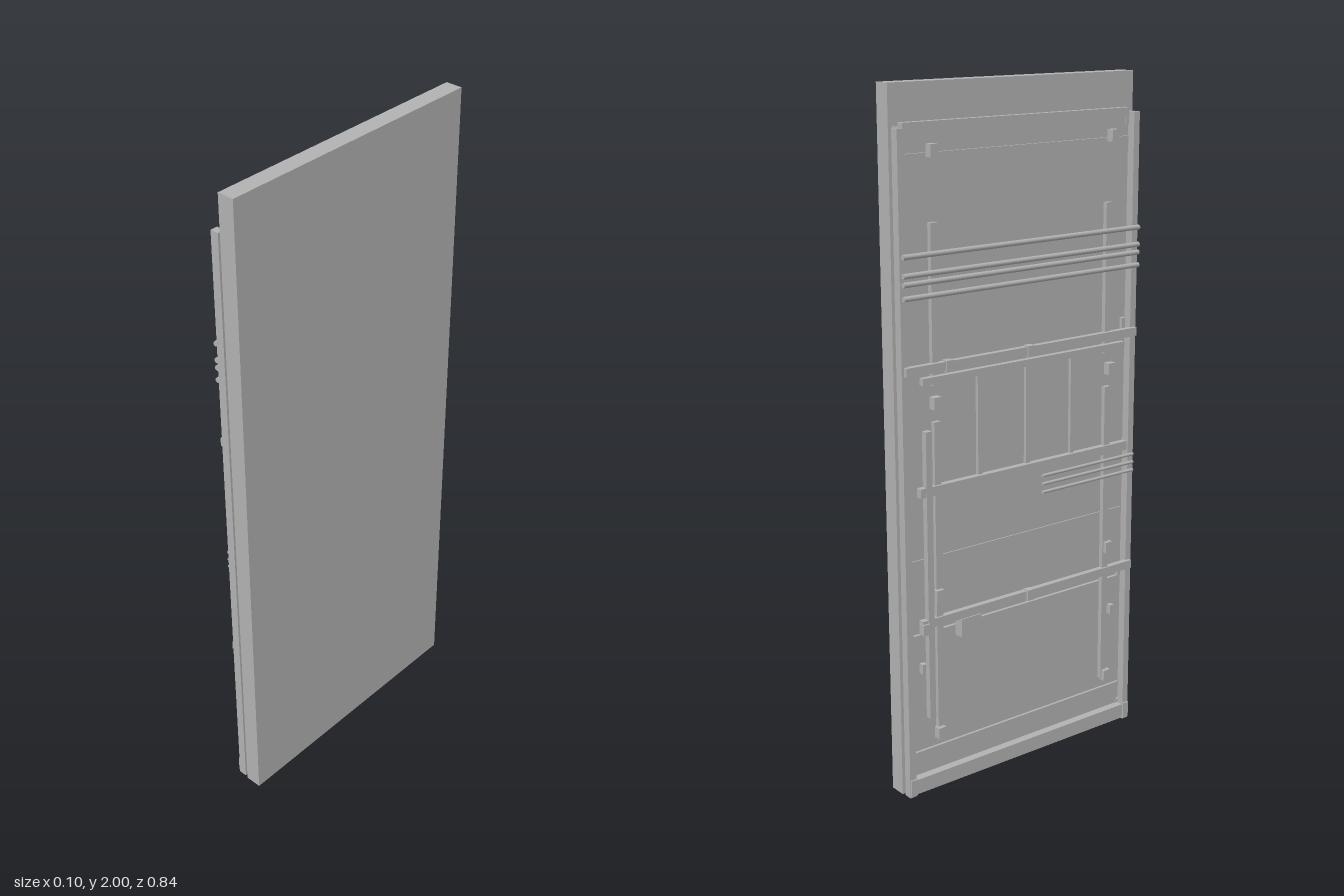
import * as THREE from 'three';

export function createModel() {
  const group = new THREE.Group();
  const grey = new THREE.MeshStandardMaterial({ color: 0xb2b2b2 });
  grey.name = 'plain grey';

  // Box from its limits on each axis
  const box = (name, x0, x1, y0, y1, z0, z1) => {
    const mesh = new THREE.Mesh(new THREE.BoxGeometry(x1 - x0, y1 - y0, z1 - z0), grey);
    mesh.position.set((x0 + x1) / 2, (y0 + y1) / 2, (z0 + z1) / 2);
    mesh.name = name;
    group.add(mesh);
  };
  // Round rod running along z
  const rod = (name, x, y, z0, z1, r) => {
    const geo = new THREE.CylinderGeometry(r, r, z1 - z0, 10).rotateX(Math.PI / 2);
    const mesh = new THREE.Mesh(geo, grey);
    mesh.position.set(x, y, (z0 + z1) / 2);
    mesh.name = name;
    group.add(mesh);
  };

  // Main slab
  box('slab', 0, 0.05, 0, 2, -0.42, 0.42);

  // Thin backing panels with gaps between them
  for (const [y0, y1] of [[1.38, 1.9], [0.55, 1.25], [0.03, 0.48]])
    box('backPanel', -0.01, 0, y0, y1, -0.39, 0.39);

  // Rails over the backing panels
  box('topRail', -0.02, -0.01, 1.875, 1.9, -0.39, 0.39);
  box('upperRail', -0.018, -0.01, 1.795, 1.82, -0.39, 0.39);
  box('panelSeam', -0.014, -0.01, 0.695, 0.705, -0.39, 0.39);
  box('lowerRail', -0.018, -0.01, 0.105, 0.125, -0.39, 0.39);
  box('bottomRail', -0.035, -0.01, 0.005, 0.05, -0.4, 0.4);

  for (const s of [-1, 1]) {
    // Side posts with feet and wall brackets
    const side = (name, x0, x1, y0, y1, za, zb) =>
      box(name, x0, x1, y0, y1, Math.min(s * za, s * zb), Math.max(s * za, s * zb));
    side('sidePost', -0.035, -0.01, 0, 1.888, 0.396, 0.417);
    side('postFoot', -0.04, -0.015, 0.005, 0.055, 0.394, 0.415);
    for (const y of [0.02, 0.48, 1.25, 1.85])
      side('postBracket', -0.012, 0, y, y + 0.04, 0.385, 0.408);

    // Inner uprights, upper and lower
    side('upperUpright', -0.036, -0.022, 1.2, 1.64, 0.296, 0.318);
    side('lowerUpright', -0.04, -0.026, 0.17, 1.1, 0.296, 0.318);
    for (const y of [1.828, 1.155, 0.6, 0.18])
      side('clamp', -0.052, -0.03, y - 0.017, y + 0.017, 0.3, 0.325);
    side('latch', -0.026, -0.008, 0.365, 0.395, 0.345, 0.36);
  }
  // Heavier upright on one side
  box('heavyUpright', -0.048, -0.03, 0.235, 1.08, -0.352, -0.332);

  // Four cross tubes
  for (const y of [1.56, 1.51, 1.487, 1.45]) rod('crossTube', -0.044, y, -0.413, 0.413, 0.0075);

  // Cross bars
  box('upperCrossBar', -0.048, -0.03, 1.24, 1.265, -0.41, 0.41);
  box('grilleTopBar', -0.051, -0.034, 1.21, 1.23, -0.36, 0.36);
  box('grilleBottomBar', -0.047, -0.028, 0.895, 0.922, -0.37, 0.38);
  box('lowerCrossBar', -0.046, -0.028, 0.51, 0.535, -0.37, 0.41);

  // Grille bars
  for (const z of [-0.16, 0.01, 0.175])
    box('grilleBar', -0.036, -0.026, 0.92, 1.215, z - 0.007, z + 0.007);

  // Short rods on one side
  for (const y of [0.875, 0.85, 0.825]) rod('shortRod', -0.042, y, 0.06, 0.41, 0.005);

  // Small blocks on the cross bars
  for (const [y, z] of [[1.252, -0.27], [1.252, 0.01], [0.522, 0.01], [0.51, -0.36]])
    box('barBlock', -0.052, -0.03, y - 0.016, y + 0.016, z - 0.012, z + 0.012);
  box('lockBox', -0.05, -0.02, 0.455, 0.51, -0.24, -0.17);

  return group;
}
